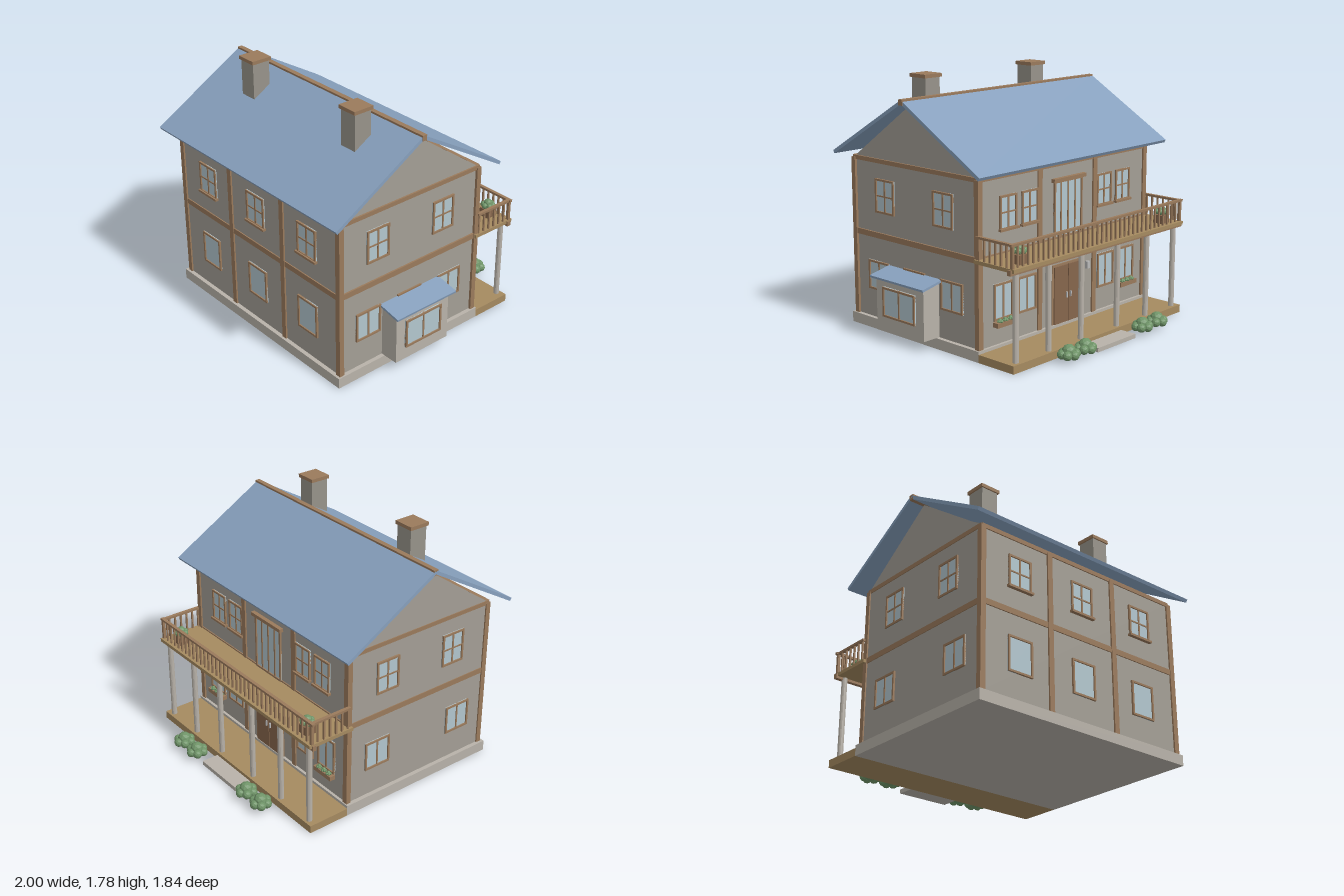
import * as THREE from 'three';

const mat = (color, double) => new THREE.MeshStandardMaterial({
  color, flatShading: true, side: double ? THREE.DoubleSide : THREE.FrontSide });
const M = {
  wall: mat(0xa39e95), stone: mat(0xb8b2a9), chimney: mat(0x97938a), roof: mat(0x87a0bd),
  wood: mat(0x9a7a5c), deck: mat(0xa58a60), door: mat(0x86664c), glass: mat(0xb2c6ce),
  leaf: mat(0x6f9468), grey: mat(0xb9b9b9)
};
const CX = -0.035, CZ = 0.2;            // middle of the house
const X0 = -0.89, X1 = 0.82, Z0 = -0.41, Z1 = 0.81; // wall faces

// Box given by its minimum and maximum corners
function box(parent, name, m, x0, x1, y0, y1, z0, z1) {
  const mesh = new THREE.Mesh(new THREE.BoxGeometry(x1 - x0, y1 - y0, z1 - z0), m);
  mesh.position.set((x0 + x1) / 2, (y0 + y1) / 2, (z0 + z1) / 2);
  mesh.name = name;
  parent.add(mesh);
  return mesh;
}

function group(parent, name) {
  const g = new THREE.Group();
  g.name = name;
  parent.add(g);
  return g;
}

// Framed window facing local +z, split in cols x rows panes
function addWindow(parent, name, { w, h, cols = 1, rows = 1, sill = false }, x, y, z, turn = 0) {
  const g = group(parent, name), t = 0.014, d = 0.014;
  box(g, 'glass', M.glass, -w / 2, w / 2, -h / 2, h / 2, -0.01, 0.005);
  for (const s of [-1, 1]) {
    const fx = s * (w - t) / 2, fy = s * (h - t) / 2;
    box(g, 'frameSide', M.wood, fx - t / 2, fx + t / 2, -h / 2, h / 2, -0.01, d);
    box(g, 'frameRail', M.wood, -w / 2, w / 2, fy - t / 2, fy + t / 2, -0.01, d);
  }
  for (let i = 1; i < cols; i++) {
    const bx = -w / 2 + w * i / cols;
    box(g, 'mullion', M.wood, bx - 0.006, bx + 0.006, -h / 2, h / 2, 0, 0.01);
  }
  for (let i = 1; i < rows; i++) {
    const by = -h / 2 + h * i / rows;
    box(g, 'glazingBar', M.wood, -w / 2, w / 2, by - 0.005, by + 0.005, 0, 0.01);
  }
  if (sill) box(g, 'sill', M.wood, -w / 2 - 0.008, w / 2 + 0.008, -h / 2 - 0.006, -h / 2 + 0.01, -0.01, 0.026);
  g.position.set(x, y, z);
  g.rotation.y = turn;
}

// Bush made of a ring of faceted balls around a taller middle one
function addBush(parent, name, x, y, z, r) {
  const g = group(parent, name);
  const ball = (bx, by, bz, s) => {
    const b = new THREE.Mesh(new THREE.IcosahedronGeometry(s, 1), M.leaf);
    b.position.set(bx, by, bz);
    b.name = 'foliage';
    g.add(b);
  };
  ball(0, r * 0.12, 0, r * 0.62);
  for (let i = 0; i < 6; i++) {
    const a = i * Math.PI / 3 + Math.PI / 6;
    ball(Math.cos(a) * r * 0.62, -r * 0.12, Math.sin(a) * r * 0.62, r * 0.42);
  }
  g.position.set(x, y, z);
}

export function createModel() {
  const house = new THREE.Group();
  house.name = 'house';

  // Walls and gabled attic
  box(house, 'foundation', M.stone, -0.92, 0.85, 0, 0.075, -0.43, 0.84);
  box(house, 'walls', M.wall, X0, X1, 0.07, 1.21, Z0, Z1);
  const tri = new THREE.Shape([[-0.61, 1.2], [0.61, 1.2], [0, 1.63]].map(p => new THREE.Vector2(...p)));
  const gable = new THREE.Mesh(
    new THREE.ExtrudeGeometry(tri, { depth: X1 - X0, bevelEnabled: false }), M.wall);
  gable.rotation.y = Math.PI / 2;
  gable.position.set(X0, 0, CZ);
  gable.name = 'gable';
  house.add(gable);

  // Timber posts and beams
  const frame = group(house, 'timberFrame');
  for (const px of [-0.88, -0.318, 0.25, 0.818])
    for (const [z0, z1] of [[Z1 - 0.025, Z1 + 0.012], [Z0 - 0.012, Z0 + 0.025]])
      box(frame, 'post', M.wood, px - 0.02, px + 0.02, 0.07, 1.2, z0, z1);
  for (const [y0, y1] of [[0.655, 0.695], [1.185, 1.215]]) {
    box(frame, 'frontBeam', M.wood, X0, X1, y0, y1, Z1 - 0.02, Z1 + 0.008);
    box(frame, 'backBeam', M.wood, X0, X1, y0, y1, Z0 - 0.008, Z0 + 0.02);
    box(frame, 'rightBeam', M.wood, X0 - 0.006, X0 + 0.02, y0, y1, Z0, Z1);
    box(frame, 'leftBeam', M.wood, X1 - 0.02, X1 + 0.012, y0, y1, Z0, Z1);
  }

  // Roof slabs and ridge
  const run = 0.71, drop = 0.415;
  for (const s of [-1, 1]) {
    const slab = new THREE.Mesh(new THREE.BoxGeometry(1.92, 0.024, Math.hypot(run, drop)), M.roof);
    slab.position.set(-0.04, 1.647 - drop / 2, CZ + s * run / 2);
    slab.rotation.x = s * Math.atan2(drop, run);
    slab.name = 'roofSlope';
    house.add(slab);
  }
  box(house, 'ridgeBeam', M.wood, -1, 0.925, 1.625, 1.664, CZ - 0.018, CZ + 0.018);

  // Chimneys
  for (const x of [-0.54, 0.51]) {
    const c = group(house, 'chimney');
    box(c, 'stack', M.chimney, x - 0.066, x + 0.066, 1.42, 1.765, 0.335, 0.47);
    box(c, 'cap', M.wood, x - 0.077, x + 0.077, 1.76, 1.785, 0.325, 0.48);
  }

  // Front windows
  for (const x of [-0.577, CX, 0.507]) {
    addWindow(house, 'upperFrontWindow', { w: 0.19, h: 0.23, cols: 2, rows: 2, sill: true }, x, 0.955, Z1);
    addWindow(house, 'lowerFrontWindow', { w: 0.2, h: 0.245 }, x, 0.383, Z1);
  }

  // Side windows
  for (const [x, turn] of [[X1, Math.PI / 2], [X0, -Math.PI / 2]]) {
    for (const z of [0.49, -0.085])
      addWindow(house, 'upperSideWindow', { w: 0.19, h: 0.24, cols: 2, rows: 2 }, x, 0.957, z, turn);
    for (const z of [0.567, -0.16])
      addWindow(house, 'lowerSideWindow', { w: 0.21, h: 0.21, cols: 2 }, x, 0.383, z, turn);
  }

  // Bay with a lean-to roof
  const bay = group(house, 'bay');
  box(bay, 'bayWalls', M.stone, X1, 0.96, 0.075, 0.44, -0.03, 0.44);
  addWindow(bay, 'bayWindow', { w: 0.32, h: 0.21, cols: 2 }, 0.963, 0.275, CZ + 0.005, Math.PI / 2);
  const lean = box(bay, 'bayRoof', M.roof, 0.82, 0.998, 0.448, 0.464, -0.065, 0.465);
  lean.rotation.z = -0.2;
  box(bay, 'bayTrim', M.wood, X1, X1 + 0.012, 0.472, 0.492, 0.1, 0.31);

  // Back windows, flower boxes and lanterns
  for (const s of [-1, 1]) {
    for (const dx of [0.385, 0.59])
      addWindow(house, 'upperBackWindow', { w: 0.16, h: 0.23, cols: 2, rows: 2, sill: true },
        CX + s * dx, 0.955, Z0, Math.PI);
    for (const dx of [0.41, 0.64])
      addWindow(house, 'lowerBackWindow', { w: 0.18, h: 0.25, cols: 2 }, CX + s * dx, 0.365, Z0, Math.PI);
    const x = CX + s * 0.64;
    box(house, 'flowerBox', M.wood, x - 0.09, x + 0.09, 0.2, 0.232, -0.455, Z0);
    for (const dx of [-0.05, 0, 0.05]) addBush(house, 'flowers', x + dx, 0.24, -0.435, 0.022);
    const lx = CX + s * 0.21;
    box(house, 'lantern', M.grey, lx - 0.014, lx + 0.014, 0.41, 0.462, -0.432, Z0);
  }

  // Entrance and balcony doors
  const door = group(house, 'frontDoor');
  box(door, 'doorFrame', M.wood, CX - 0.16, CX + 0.16, 0.05, 0.5, Z0 - 0.008, Z0);
  for (const s of [-1, 1]) {
    const x = CX + s * 0.073;
    box(door, 'doorLeaf', M.door, x - 0.07, x + 0.07, 0.055, 0.485, Z0 - 0.016, Z0);
    box(door, 'handle', M.grey, CX + s * 0.02 - 0.005, CX + s * 0.02 + 0.005, 0.25, 0.29, Z0 - 0.026, Z0 - 0.015);
  }
  addWindow(house, 'balconyDoor', { w: 0.29, h: 0.4, cols: 4 }, CX, 0.885, Z0, Math.PI);
  box(house, 'balconyDoorLintel', M.wood, CX - 0.165, CX + 0.165, 1.08, 1.105, Z0 - 0.03, Z0);

  // Porch deck, step and columns
  box(house, 'porchDeck', M.deck, -0.92, 0.85, 0, 0.055, -0.74, -0.43);
  box(house, 'step', M.stone, -0.235, 0.165, 0, 0.03, -0.865, -0.74);
  for (const dx of [0.19, 0.515, 0.825]) for (const s of [-1, 1]) {
    const col = new THREE.Mesh(new THREE.CylinderGeometry(0.02, 0.02, 0.61, 12), M.stone);
    col.position.set(CX + s * dx, 0.355, -0.703);
    col.name = 'column';
    house.add(col);
  }

  // Balcony floor and railing
  const balcony = group(house, 'balcony');
  box(balcony, 'floor', M.deck, -0.92, 0.85, 0.66, 0.685, -0.745, Z0 + 0.02);
  box(balcony, 'edgeBeam', M.wood, -0.93, 0.86, 0.642, 0.678, -0.727, -0.697);
  const railX = [-0.908, 0.838], railZ = -0.72;
  box(balcony, 'backRail', M.wood, -0.93, 0.857, 0.828, 0.844, railZ - 0.012, railZ + 0.012);
  const baluster = (x, z, r) => box(balcony, 'baluster', M.wood, x - r, x + r, 0.68, 0.835, z - r, z + r);
  for (let i = 0; i <= 36; i++)
    baluster(THREE.MathUtils.lerp(railX[0], railX[1], i / 36), railZ, i % 36 ? 0.006 : 0.01);
  for (const x of railX) {
    box(balcony, 'sideRail', M.wood, x - 0.012, x + 0.012, 0.828, 0.844, railZ, Z0);
    for (let i = 1; i <= 6; i++) baluster(x, railZ + i * 0.049, 0.006);
  }

  // Potted plants on the balcony and bushes by the step
  for (const x of [-0.78, 0.705]) {
    box(house, 'planter', M.door, x - 0.04, x + 0.04, 0.685, 0.745, -0.695, -0.615);
    addBush(house, 'pottedPlant', x, 0.775, -0.655, 0.052);
  }
  for (const x of [-0.505, -0.34, 0.27, 0.435]) addBush(house, 'bush', x, 0.065, -0.842, 0.078);

  return house;
}
